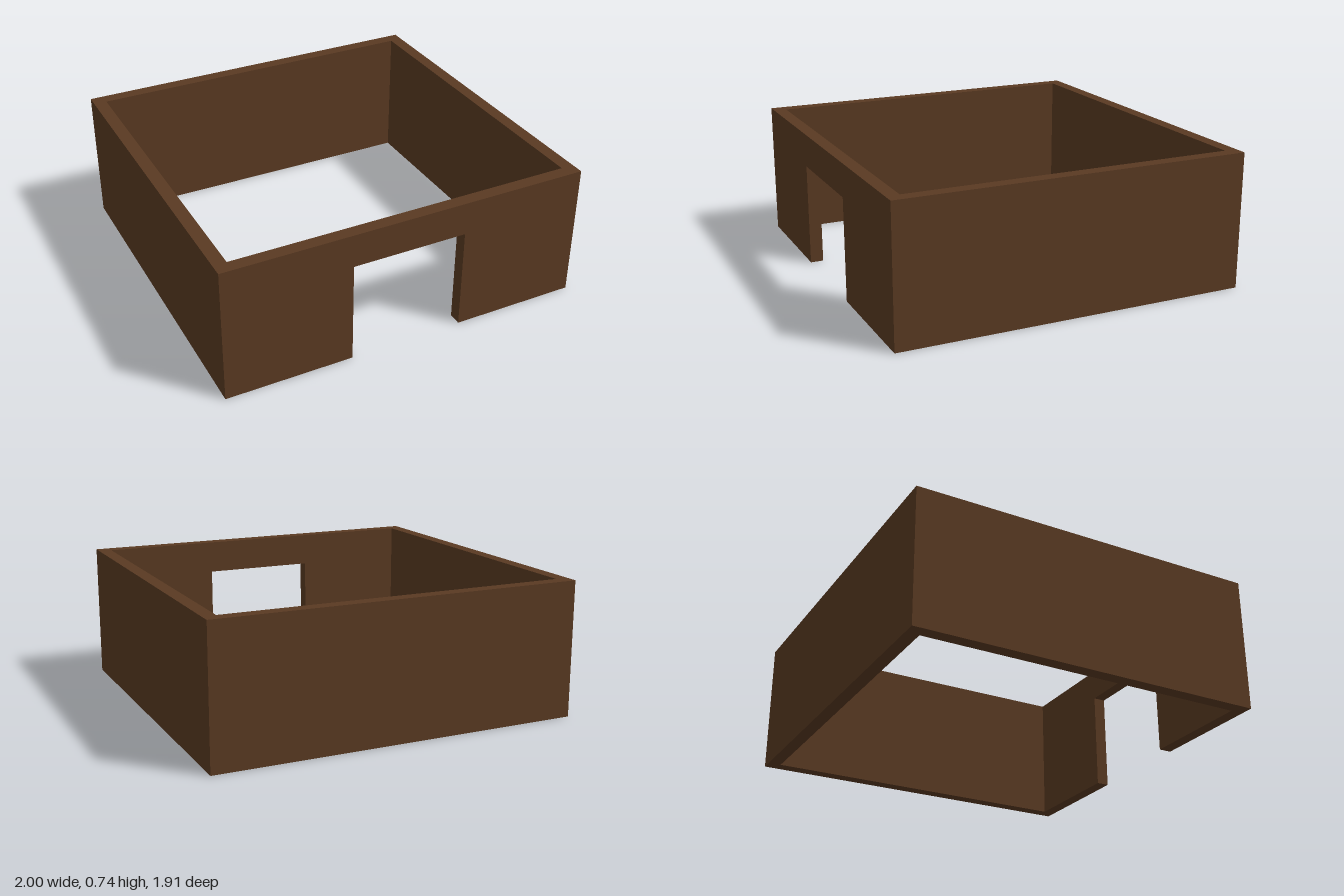
import * as THREE from 'three';

const W = 2, D = 1.91, H = 0.735, T = 0.07; // overall size and wall thickness
const DOOR_W = 0.624, DOOR_H = 0.555;

export function createModel() {
  const model = new THREE.Group();
  model.name = 'walledEnclosure';
  const wood = new THREE.MeshStandardMaterial({ color: 0x5a3a22 });
  wood.name = 'dark brown';

  const add = (name, geometry, x, y, z) => {
    const mesh = new THREE.Mesh(geometry, wood);
    mesh.name = name;
    mesh.position.set(x, y, z);
    model.add(mesh);
  };

  // Side walls run the full depth
  for (const [name, s] of [['leftWall', 1], ['rightWall', -1]]) {
    add(name, new THREE.BoxGeometry(T, H, D), s * (W - T) / 2, H / 2, 0);
  }

  // Back wall fits between the sides
  const inner = W - 2 * T;
  add('backWall', new THREE.BoxGeometry(inner, H, T), 0, H / 2, -(D - T) / 2);

  // Front wall with a doorway open to the ground
  const a = inner / 2, d = DOOR_W / 2;
  const outline = new THREE.Shape([
    [-a, 0], [-d, 0], [-d, DOOR_H], [d, DOOR_H], [d, 0], [a, 0], [a, H], [-a, H],
  ].map(([x, y]) => new THREE.Vector2(x, y)));
  add('frontWall', new THREE.ExtrudeGeometry(outline, { depth: T, bevelEnabled: false }), 0, 0, D / 2 - T);

  return model;
}
